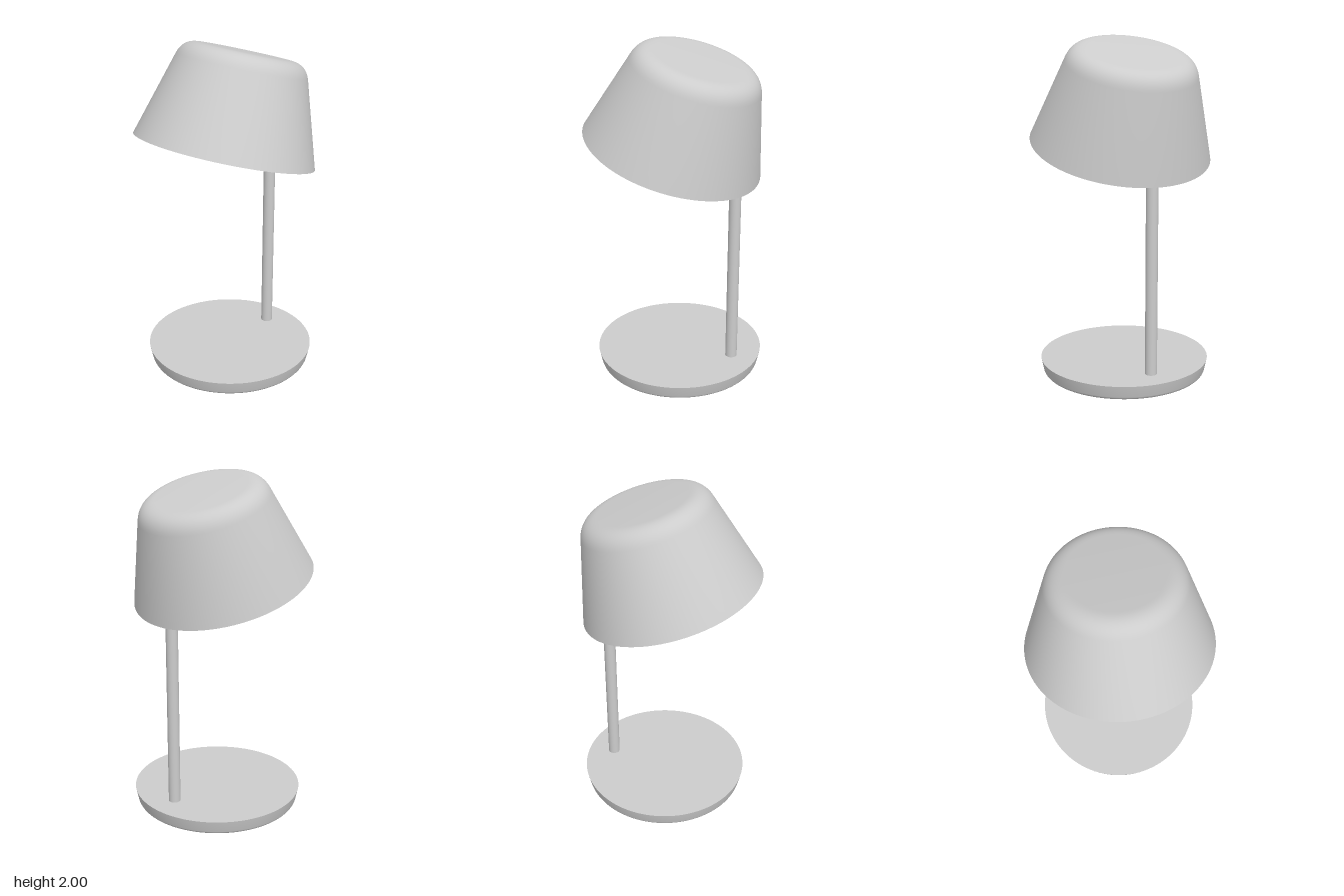
import * as THREE from 'three';
import { toCreasedNormals } from 'three/addons/utils/BufferGeometryUtils.js';

const SEGMENTS = 96;
const TILT = 0.297; // shade leans back, raising its front rim

// Turned part from a profile running from the lower centre out and up to the top centre
function turned(name, path, material) {
  const lathe = new THREE.LatheGeometry(path.getPoints(10), SEGMENTS);
  const mesh = new THREE.Mesh(toCreasedNormals(lathe, 0.5), material);
  mesh.name = name;
  return mesh;
}

export function createModel() {
  const lamp = new THREE.Group();
  lamp.name = 'tableLamp';
  const grey = new THREE.MeshStandardMaterial({ color: 0xcccccc });
  grey.name = 'lightGrey';

  // Dish-shaped base with a rounded lower edge
  const basePath = new THREE.Path();
  basePath.moveTo(0, 0);
  basePath.lineTo(0.455, 0);
  basePath.quadraticCurveTo(0.484, 0, 0.489, 0.025);
  basePath.lineTo(0.503, 0.09);
  basePath.lineTo(0, 0.09);
  const base = turned('base', basePath, grey);
  base.position.z = -0.025;
  lamp.add(base);

  // Upright pole near the back, ending inside the shade
  const pole = new THREE.Mesh(new THREE.CylinderGeometry(0.035, 0.035, 1.24, 32), grey);
  pole.name = 'pole';
  pole.position.set(0, 0.08 + 0.62, -0.37);
  lamp.add(pole);

  // Tapered shade: recessed diffuser, thin rim, sloping wall, rounded crown
  const shadePath = new THREE.Path();
  shadePath.moveTo(0, 0.029);
  shadePath.lineTo(0.513, 0.029);
  shadePath.lineTo(0.522, 0);
  shadePath.lineTo(0.531, 0);
  shadePath.lineTo(0.381, 0.488);
  shadePath.quadraticCurveTo(0.354, 0.575, 0.264, 0.575);
  shadePath.lineTo(0, 0.575);
  const shade = turned('shade', shadePath, grey);
  shade.position.set(0, 1.365, 0.0225);
  shade.rotation.x = -TILT;
  lamp.add(shade);

  return lamp;
}
